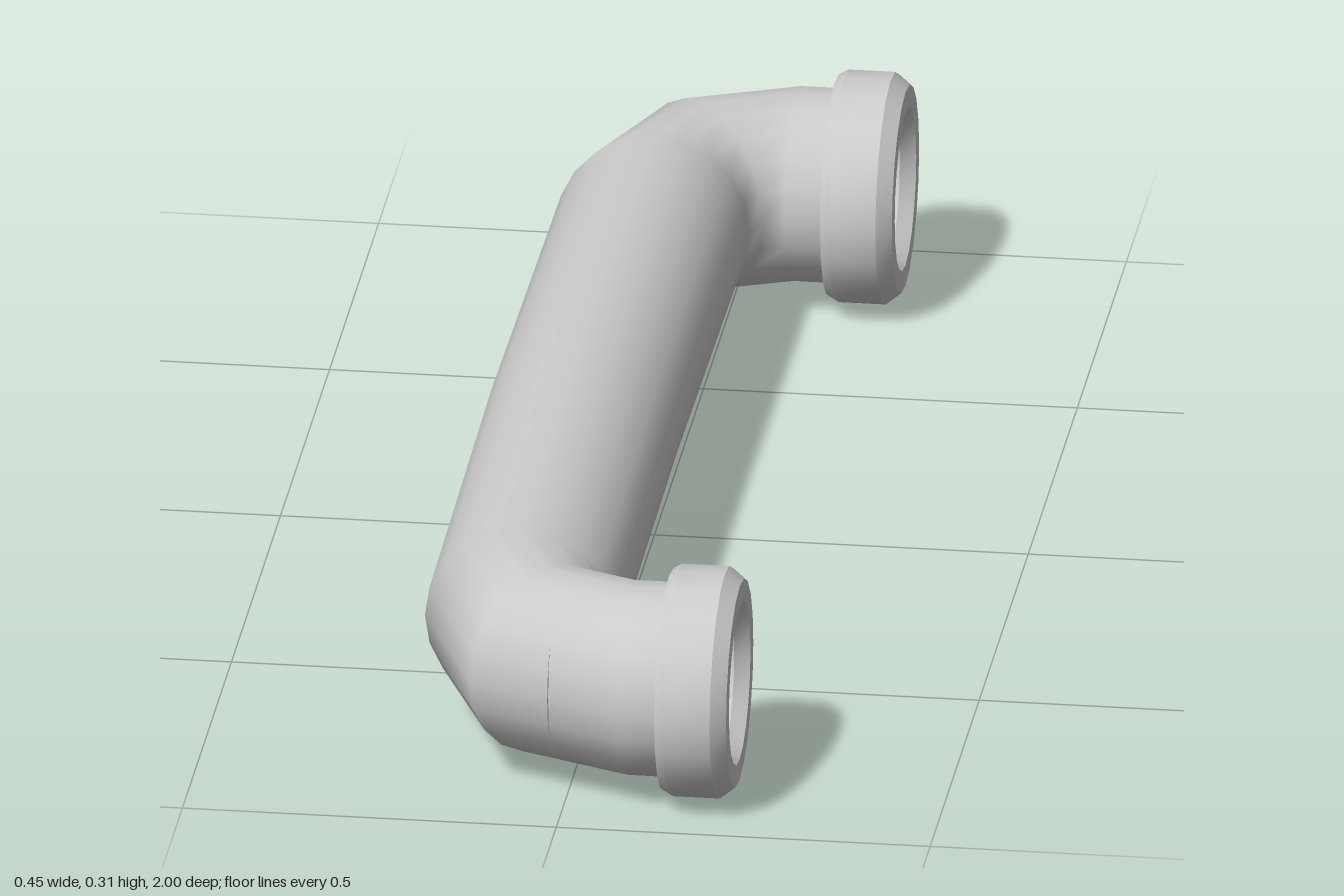
import * as THREE from 'three';
import { toCreasedNormals } from 'three/addons/utils/BufferGeometryUtils.js';

const SIDES = 20;
const MID_Y = 0.155;
const PIPE_R = 0.13;
const END_Z = 0.845;

// Bent pipe: each ring spans from an outer to an inner point in the xz plane
function pipeGeometry() {
  const half = [ // outer x, outer z, inner x, inner z
    [-0.219, 0.67, 0.039, 0.67],
    [-0.131, 0.885, 0.052, 0.706],
    [0.08, 0.973, 0.08, 0.716],
    [0.145, 0.975, 0.145, 0.715],
  ];
  const mirrored = half.map(([ox, oz, ix, iz]) => [ox, -oz, ix, -iz]).reverse();
  const rings = [...mirrored, [-0.225, 0, 0.035, 0], ...half];

  const positions = [];
  const index = [];
  rings.forEach(([ox, oz, ix, iz], i) => {
    for (let j = 0; j < SIDES; j++) {
      const a = (j / SIDES) * Math.PI * 2;
      const c = Math.cos(a);
      positions.push(
        (ox + ix) / 2 + ((ix - ox) / 2) * c,
        MID_Y + PIPE_R * Math.sin(a),
        (oz + iz) / 2 + ((iz - oz) / 2) * c,
      );
      if (i < rings.length - 1) {
        const k = (j + 1) % SIDES;
        const p = i * SIDES + j, q = i * SIDES + k;
        index.push(p, q, p + SIDES, q, q + SIDES, p + SIDES);
      }
    }
  });
  const geo = new THREE.BufferGeometry();
  geo.setAttribute('position', new THREE.Float32BufferAttribute(positions, 3));
  geo.setIndex(index);
  geo.computeVertexNormals();
  return geo;
}

// Bevelled collar with a blind bore, turned about the x axis
function collarGeometry() {
  const profile = [
    [0.125, 0.13], [0.148, 0.13], [0.155, 0.142], [0.155, 0.205], [0.139, 0.225],
    [0.11, 0.225], [0.096, 0.205], [0.095, -0.02], [0, -0.02],
  ].map(([r, x]) => new THREE.Vector2(r, x));
  const geo = new THREE.LatheGeometry(profile, SIDES);
  geo.rotateZ(-Math.PI / 2);
  return toCreasedNormals(geo, 0.5);
}

export function createModel() {
  const group = new THREE.Group();
  group.name = 'pullHandle';
  const material = new THREE.MeshStandardMaterial({ color: 0xcccccc });

  const pipe = new THREE.Mesh(pipeGeometry(), material);
  pipe.name = 'bentPipe';
  group.add(pipe);

  // One collar on each open end
  const collar = collarGeometry();
  for (const [name, side] of [['frontCollar', 1], ['backCollar', -1]]) {
    const mesh = new THREE.Mesh(collar, material);
    mesh.name = name;
    mesh.position.set(0, MID_Y, side * END_Z);
    group.add(mesh);
  }
  return group;
}
